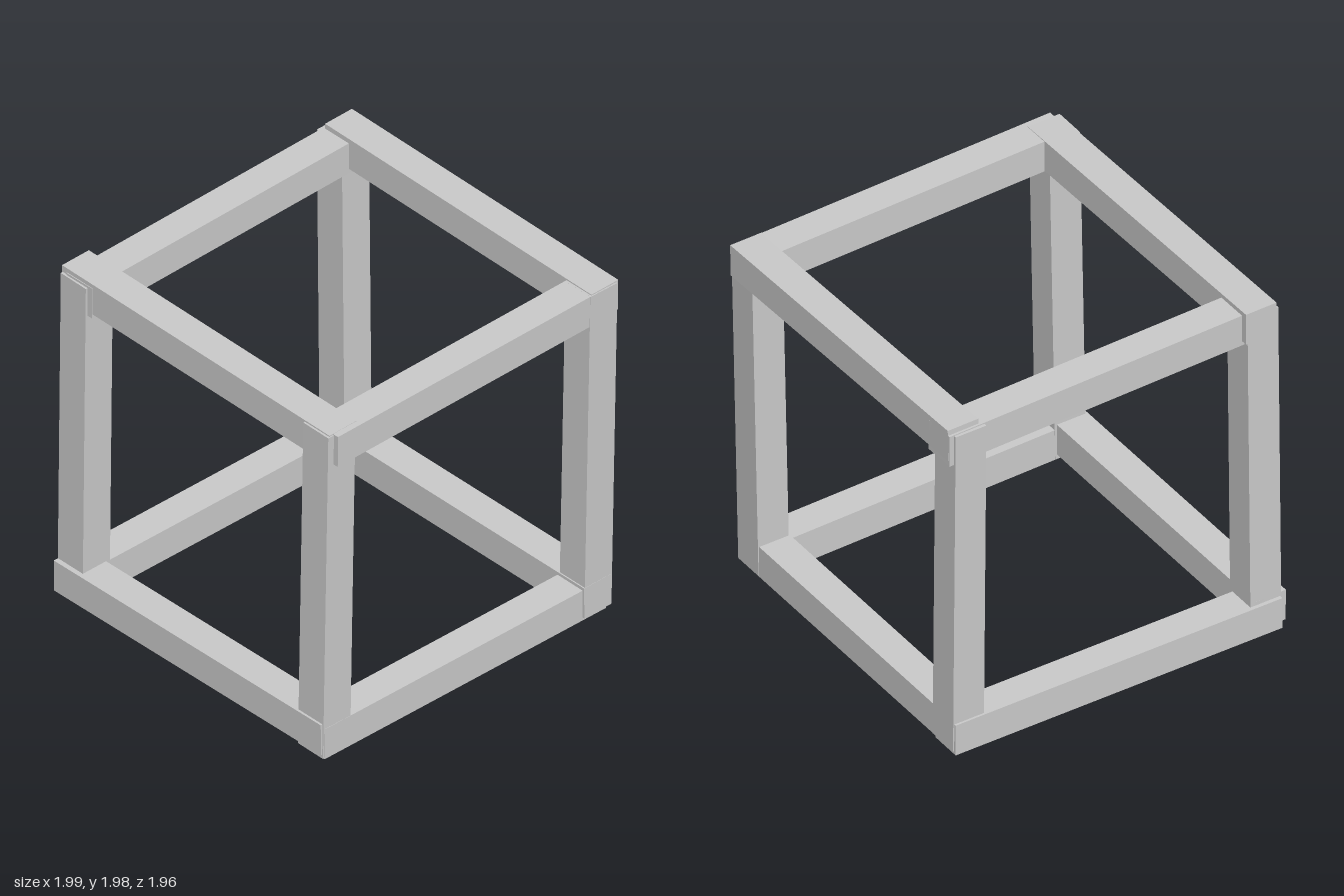
import * as THREE from 'three';

const T = 0.18; // bar thickness

export function createModel() {
  const group = new THREE.Group();
  const material = new THREE.MeshStandardMaterial({ color: 0xcccccc, flatShading: true });
  const axes = { x: new THREE.Vector3(1, 0, 0), y: new THREE.Vector3(0, 1, 0), z: new THREE.Vector3(0, 0, 1) };

  // A square bar along one axis, tilted slightly to join its two end centres
  function bar(name, axis, start, end) {
    const a = new THREE.Vector3(...start), b = new THREE.Vector3(...end);
    const dir = b.clone().sub(a);
    const size = { x: T, y: T, z: T, [axis]: dir.length() };
    const mesh = new THREE.Mesh(new THREE.BoxGeometry(size.x, size.y, size.z), material);
    mesh.quaternion.setFromUnitVectors(axes[axis], dir.normalize());
    mesh.position.copy(a).add(b).multiplyScalar(0.5);
    mesh.name = name;
    group.add(mesh);
  }

  // Upright posts
  bar('frontRightPost', 'y', [-0.88, 0.03, 0.858], [-0.845, 1.95, 0.858]);
  bar('frontLeftPost', 'y', [0.855, 0.03, 0.858], [0.895, 1.94, 0.858]);
  bar('backRightPost', 'y', [-0.878, 0.04, -0.872], [-0.866, 1.94, -0.862]);
  bar('backLeftPost', 'y', [0.862, 0.03, -0.872], [0.856, 1.94, -0.886]);

  // Top rails
  bar('topFrontRail', 'x', [-0.9, 1.867, 0.887], [0.985, 1.85, 0.853]);
  bar('topBackRail', 'x', [-0.945, 1.863, -0.832], [0.975, 1.855, -0.873]);
  bar('topRightRail', 'z', [-0.852, 1.888, -0.96], [-0.832, 1.868, 0.94]);
  bar('topLeftRail', 'z', [0.885, 1.885, -0.95], [0.907, 1.857, 0.94]);

  // Bottom rails
  bar('bottomFrontRail', 'x', [-0.96, 0.117, 0.86], [0.92, 0.092, 0.848]);
  bar('bottomBackRail', 'x', [-0.96, 0.105, -0.893], [0.945, 0.102, -0.885]);
  bar('bottomRightRail', 'z', [-0.905, 0.128, -0.96], [-0.888, 0.145, 0.94]);
  bar('bottomLeftRail', 'z', [0.845, 0.1, -0.95], [0.852, 0.112, 0.95]);

  return group;
}
